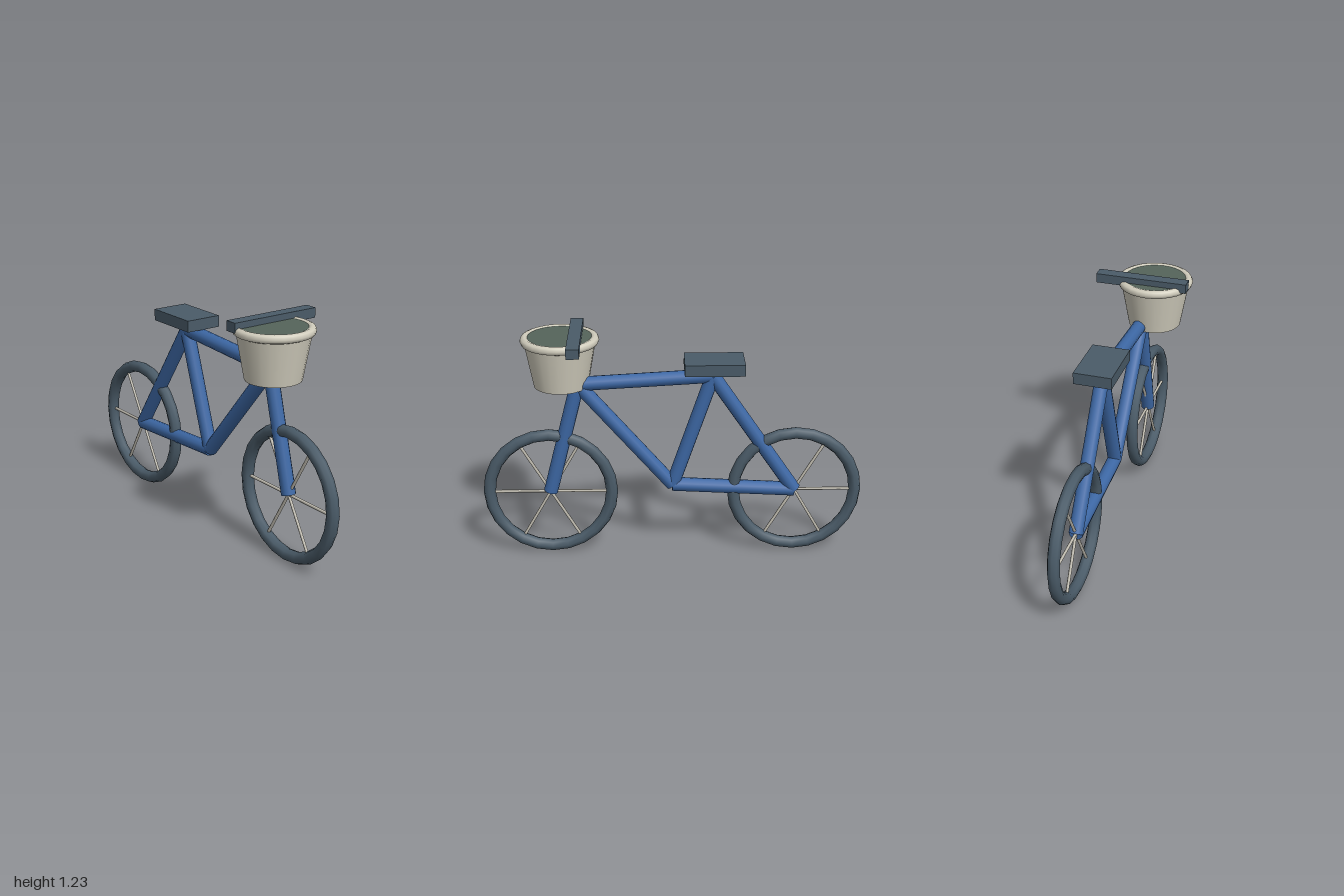
import * as THREE from 'three';

const mat = (color) => new THREE.MeshStandardMaterial({ color });
const blue = mat(0x3d68a5), rubber = mat(0x4a5b68), metal = mat(0xc4c0b4);
const wicker = mat(0xd2cebe), filling = mat(0x55645a);

function add(parent, name, geometry, material, x = 0, y = 0, z = 0) {
  const mesh = new THREE.Mesh(geometry, material);
  mesh.name = name;
  mesh.position.set(x, y, z);
  parent.add(mesh);
  return mesh;
}

// Straight round bar between two points in the plane of the frame
function bar(parent, name, [ax, ay], [bx, by], radius, material, sides = 12) {
  const length = Math.hypot(bx - ax, by - ay);
  const geometry = new THREE.CylinderGeometry(radius, radius, length, sides);
  const mesh = add(parent, name, geometry, material, (ax + bx) / 2, (ay + by) / 2);
  mesh.rotation.z = Math.atan2(by - ay, bx - ax) - Math.PI / 2;
}

// Tyre with three full-width rods making six spokes
function wheel(name, [x, y]) {
  const group = new THREE.Group();
  group.name = name;
  group.position.set(x, y, 0);
  add(group, 'tyre', new THREE.TorusGeometry(0.323, 0.032, 8, 24), rubber);
  for (let i = 0; i < 3; i++) {
    const a = (i * Math.PI) / 3;
    const c = Math.cos(a) * 0.32, s = Math.sin(a) * 0.32;
    bar(group, 'spokePair', [-c, -s], [c, s], 0.008, metal, 6);
  }
  return group;
}

export function createModel() {
  const bike = new THREE.Group();
  bike.name = 'bicycle';

  const rearHub = [-0.643, 0.36], frontHub = [0.643, 0.36];
  const crank = [0, 0.395], seatNode = [-0.205, 1.005], head = [0.485, 0.965];

  bike.add(wheel('rearWheel', rearHub), wheel('frontWheel', frontHub));

  // Frame
  const tubes = {
    chainStay: [rearHub, crank],
    seatStay: [rearHub, seatNode],
    seatTube: [crank, seatNode],
    topTube: [seatNode, head],
    downTube: [crank, head],
    fork: [frontHub, head],
  };
  for (const [name, [a, b]] of Object.entries(tubes)) bar(bike, name, a, b, 0.037, blue);

  // Saddle and handlebar
  add(bike, 'saddle', new THREE.BoxGeometry(0.305, 0.06, 0.195), rubber, -0.212, 1.065, 0);
  add(bike, 'handlebar', new THREE.BoxGeometry(0.065, 0.05, 0.49), rubber, 0.49, 1.211, 0);

  // Basket, set off to one side, with rolled rim and filling
  const basket = new THREE.Group();
  basket.name = 'basket';
  basket.position.set(0.57, 0, 0.05);
  bike.add(basket);
  add(basket, 'basketBody', new THREE.CylinderGeometry(0.185, 0.14, 0.25, 24), wicker, 0, 1.068, 0);
  const rim = add(basket, 'basketRim', new THREE.TorusGeometry(0.178, 0.023, 8, 28), wicker, 0, 1.187, 0);
  rim.rotation.x = Math.PI / 2;
  add(basket, 'basketFilling', new THREE.CylinderGeometry(0.167, 0.167, 0.03, 24), filling, 0, 1.189, 0);

  return bike;
}
